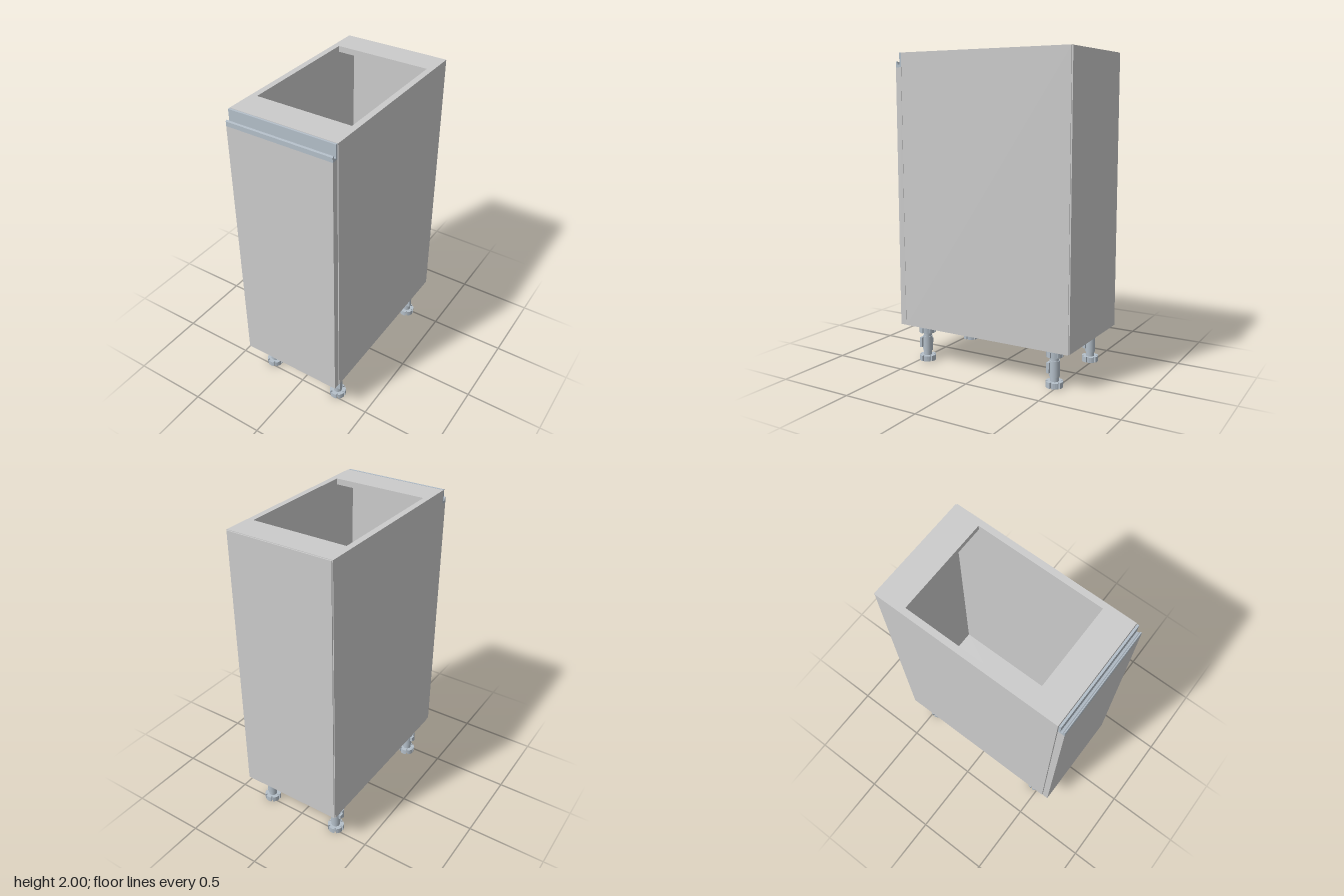
import * as THREE from 'three';

const board = new THREE.MeshStandardMaterial({ color: 0xcccccc });
const metal = new THREE.MeshStandardMaterial({ color: 0xb4bfc9 });

function add(parent, name, geometry, material, x = 0, y = 0, z = 0) {
  const mesh = new THREE.Mesh(geometry, material);
  mesh.name = name;
  mesh.position.set(x, y, z);
  parent.add(mesh);
  return mesh;
}

// Box given by its two opposite corners
function slab(parent, name, material, [x0, y0, z0], [x1, y1, z1]) {
  return add(parent, name, new THREE.BoxGeometry(x1 - x0, y1 - y0, z1 - z0), material,
    (x0 + x1) / 2, (y0 + y1) / 2, (z0 + z1) / 2);
}

// Cross-section of [z, y] points swept along x, centred
function sweepX(points, width) {
  const shape = new THREE.Shape(points.map(([z, y]) => new THREE.Vector2(-z, y)));
  const geometry = new THREE.ExtrudeGeometry(shape, { depth: width, bevelEnabled: false });
  return geometry.translate(0, 0, -width / 2).rotateY(Math.PI / 2);
}

// Flat disc with evenly spaced notches cut in its rim
function notchedDisc(radius, inner, height, notches) {
  const shape = new THREE.Shape();
  const step = (Math.PI * 2) / notches;
  for (let i = 0; i < notches; i++) {
    const a = i * step;
    for (let k = 0; k <= 4; k++) {
      const t = a + step * (0.1 + 0.2 * k);
      const x = Math.cos(t) * radius, y = Math.sin(t) * radius;
      if (i + k === 0) shape.moveTo(x, y);
      else shape.lineTo(x, y);
    }
    for (const t of [a + step * 0.9, a + step * 1.1]) {
      shape.lineTo(Math.cos(t) * inner, Math.sin(t) * inner);
    }
  }
  shape.closePath();
  return new THREE.ExtrudeGeometry(shape, { depth: height, bevelEnabled: false }).rotateX(-Math.PI / 2);
}

function createLeg() {
  const leg = new THREE.Group();
  leg.name = 'adjustableLeg';
  const tube = (name, r, y0, y1) =>
    add(leg, name, new THREE.CylinderGeometry(r, r, y1 - y0, 24), metal, 0, (y0 + y1) / 2, 0);
  add(leg, 'footPad', notchedDisc(0.053, 0.04, 0.036, 6), metal);
  tube('footCollar', 0.027, 0.036, 0.07);
  tube('legTube', 0.032, 0.065, 0.165);
  tube('legNeck', 0.027, 0.16, 0.2);
  add(leg, 'mountSocket', notchedDisc(0.053, 0.042, 0.04, 8), metal, 0, 0.19, 0);
  tube('mountFlange', 0.058, 0.226, 0.24);
  // Plinth clip on the front of the tube
  slab(leg, 'clipPlate', metal, [-0.041, 0.09, 0.018], [0.041, 0.155, 0.036]);
  slab(leg, 'clipNub', metal, [-0.014, 0.1, 0.03], [0.014, 0.14, 0.05]);
  slab(leg, 'clipTab', metal, [-0.046, 0.108, -0.012], [-0.028, 0.138, 0.02]);
  return leg;
}

export function createModel() {
  const model = new THREE.Group();
  model.name = 'baseCabinet';
  const W = 0.345, T = 0.038, bottom = 0.24, top = 2, back = -0.607, front = 0.57;

  // Carcass
  const carcass = new THREE.Group();
  carcass.name = 'carcass';
  model.add(carcass);
  for (const s of [-1, 1]) {
    const x = s * (W - T / 2);
    slab(carcass, s > 0 ? 'leftSide' : 'rightSide', board, [x - T / 2, bottom, back], [x + T / 2, top, front]);
  }
  const inner = W - T;
  slab(carcass, 'floorPanel', board, [-inner, bottom, back], [inner, bottom + T, front]);
  slab(carcass, 'frontRail', board, [-inner, top - T, 0.385], [inner, top, front]);
  slab(carcass, 'backRail', board, [-inner, top - T, -0.43], [inner, top, back].map((v, i) => (i === 2 ? back : v)));
  carcass.children.at(-1).removeFromParent();
  slab(carcass, 'backRail', board, [-inner, top - T, back], [inner, top, -0.43]);
  slab(carcass, 'backPanel', board, [-W + 0.005, bottom + 0.003, -0.615], [W - 0.005, top - 0.003, back]);

  // Door with a recessed grip strip along its top edge
  const door = new THREE.Group();
  door.name = 'door';
  model.add(door);
  slab(door, 'doorPanel', board, [-W + 0.003, bottom, 0.574], [W - 0.003, 1.91, 0.615]);
  add(door, 'gripStrip', sweepX([
    [0.574, 1.91], [0.615, 1.91], [0.615, 1.938], [0.612, 1.945], [0.607, 1.945],
    [0.6, 1.927], [0.593, 1.922], [0.587, 1.925], [0.587, 2], [0.574, 2],
  ], 2 * W - 0.006), metal);

  // Pull-out channel low inside, against the right side
  const channel = new THREE.Group();
  channel.name = 'pullOutChannel';
  model.add(channel);
  slab(channel, 'channelBase', metal, [-0.29, 0.3, -0.54], [-0.055, 0.312, 0.54]);
  for (const x of [-0.29, -0.075]) {
    slab(channel, 'channelWall', metal, [x, 0.312, -0.54], [x + 0.02, 0.42, 0.54]);
    slab(channel, 'channelLip', metal, [x + 0.005, 0.42, -0.54], [x + 0.015, 0.43, 0.54]);
    slab(channel, 'channelRunner', metal, [x, bottom + T, -0.54], [x + 0.02, 0.3, 0.54]);
  }
  slab(channel, 'wallBracket', metal, [-0.308, 0.33, -0.05], [-0.286, 0.44, 0.1]);

  // Four adjustable legs
  for (const x of [-0.261, 0.261]) {
    for (const z of [-0.48, 0.46]) {
      const leg = createLeg();
      leg.position.set(x, 0, z);
      model.add(leg);
    }
  }
  return model;
}
